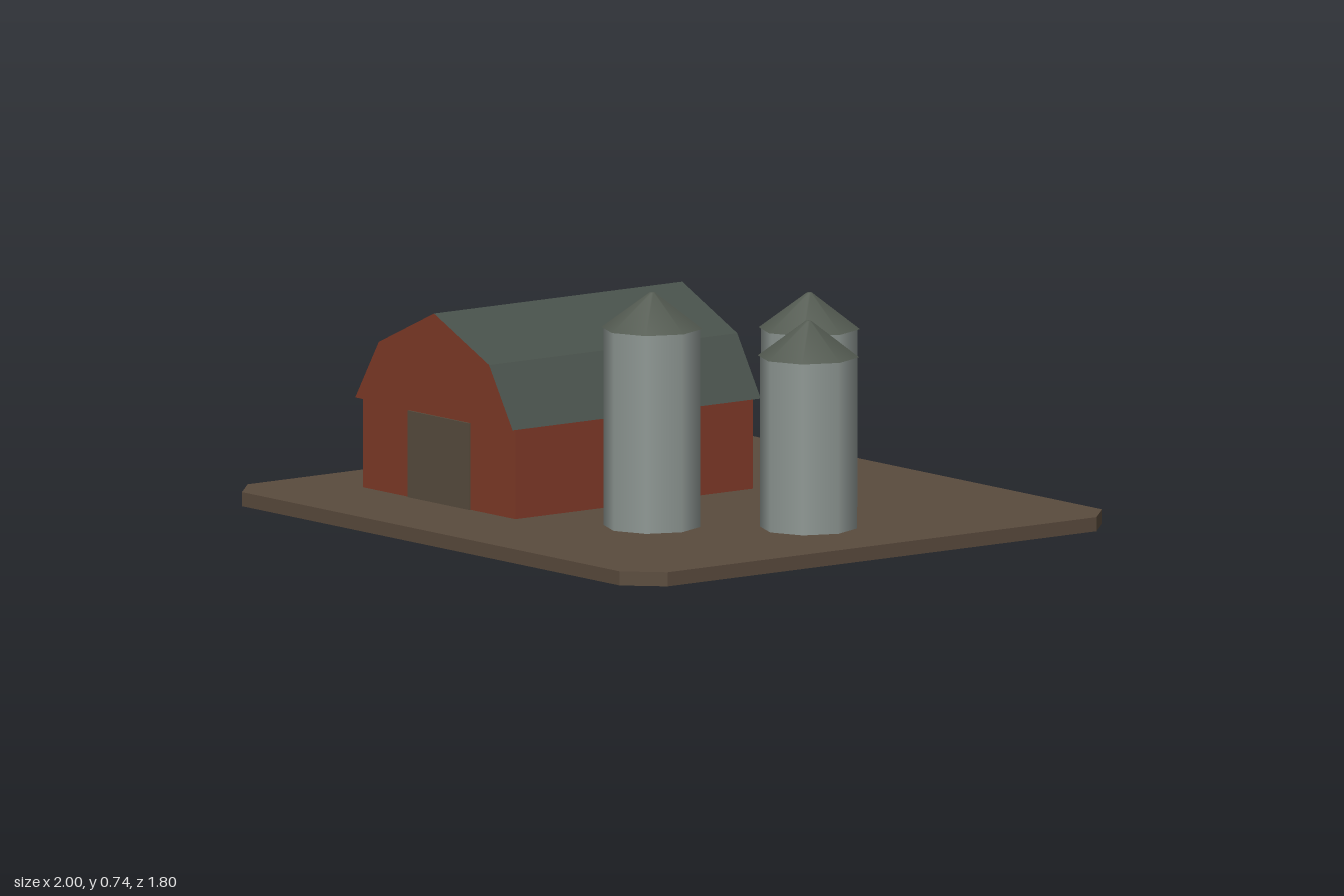
import * as THREE from 'three';

const mat = (name, color) => {
  const m = new THREE.MeshStandardMaterial({ color });
  m.name = name;
  return m;
};

export function createModel() {
  const soil = mat('soil brown', 0x5a4b3d);
  const barnRed = mat('barn red', 0x803a28);
  const roofGrey = mat('roof grey', 0x48514b);
  const doorBrown = mat('door brown', 0x584d3e);
  const silverGrey = mat('silo grey', 0x8f9894);
  const capGrey = mat('silo cap grey', 0x535a51);

  const model = new THREE.Group();
  model.name = 'farmyard';
  const add = (parent, name, geometry, material, x = 0, y = 0, z = 0) => {
    const mesh = new THREE.Mesh(geometry, material);
    mesh.name = name;
    mesh.position.set(x, y, z);
    parent.add(mesh);
    return mesh;
  };
  const extrude = (points, depth) => new THREE.ExtrudeGeometry(
    new THREE.Shape(points.map(([x, y]) => new THREE.Vector2(x, y))),
    { depth, bevelEnabled: false });

  // Ground slab with cut corners
  const ground = 0.042;
  const slab = extrude([[-0.9, -0.9], [0.9, -0.9], [1, -0.8], [1, 0.8],
    [0.9, 0.9], [-0.9, 0.9], [-1, 0.8], [-1, -0.8]], ground);
  slab.rotateX(-Math.PI / 2);
  add(model, 'ground', slab, soil);

  // Barn: walls, gambrel roof with red gable ends, front door
  const barn = new THREE.Group();
  barn.name = 'barn';
  barn.position.set(-0.386, ground, 0.123);
  model.add(barn);
  const eave = 0.31 - ground;
  add(barn, 'barnWalls', new THREE.BoxGeometry(0.725, eave, 0.886), barnRed, 0, eave / 2, 0);
  const roof = extrude([[-0.375, 0], [0.375, 0], [0.263, 0.18], [0, 0.299], [-0.263, 0.18]], 0.926);
  add(barn, 'barnRoof', roof, [barnRed, roofGrey], 0, eave, -0.463);
  add(barn, 'barnDoor', new THREE.BoxGeometry(0.294, 0.258, 0.008), doorBrown, 0.002, 0.129, 0.445);

  // Silos: smooth eight-sided body and a pointed cap
  const capHeight = 0.106;
  for (const [x, z, top] of [[0.32, 0.325, 0.632], [0.625, -0.02, 0.552], [0.32, -0.262, 0.571]]) {
    const silo = new THREE.Group();
    silo.name = 'silo';
    silo.position.set(x, ground, z);
    model.add(silo);
    const h = top - ground;
    add(silo, 'siloBody', new THREE.CylinderGeometry(0.143, 0.143, h, 8), silverGrey, 0, h / 2, 0);
    add(silo, 'siloCap', new THREE.CylinderGeometry(0.008, 0.15, capHeight, 8), capGrey, 0, h + capHeight / 2, 0);
  }
  return model;
}
